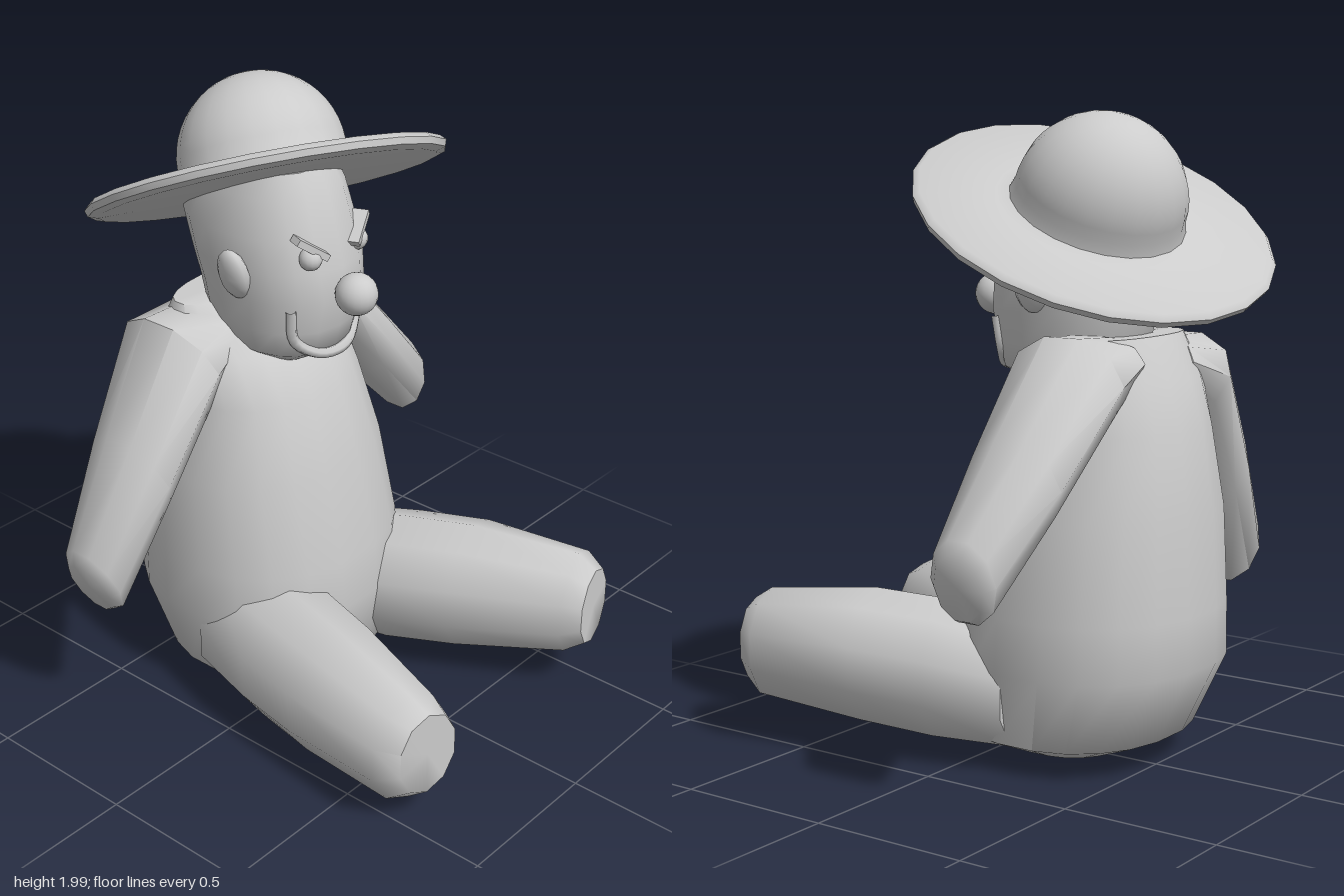
import * as THREE from 'three';
import { toCreasedNormals } from 'three/addons/utils/BufferGeometryUtils.js';

const V = (x, y, z) => new THREE.Vector3(x, y, z);

export function createModel() {
  const group = new THREE.Group();
  const material = new THREE.MeshStandardMaterial({ color: 0xcccccc });

  function add(name, geometry, x = 0, y = 0, z = 0) {
    const mesh = new THREE.Mesh(geometry, material);
    mesh.name = name;
    mesh.position.set(x, y, z);
    group.add(mesh);
    return mesh;
  }

  // Closed skin through rounded sections [x, y, z, radiusU, radiusV].
  // All sections face "d"; "v" is their second axis.
  function loft(rows, d, v, sides, power = 1) {
    const u = v.clone().cross(d).normalize();
    const round = (t) => Math.sign(t) * Math.abs(t) ** power;
    const pos = [], index = [];
    for (const [x, y, z, ru, rv] of rows) {
      for (let i = 0; i < sides; i++) {
        const a = ((i + 0.5) / sides) * Math.PI * 2;
        const p = V(x, y, z)
          .addScaledVector(u, ru * round(Math.cos(a)))
          .addScaledVector(v, rv * round(Math.sin(a)));
        pos.push(p.x, p.y, p.z);
      }
    }
    const last = rows.length - 1;
    const start = rows.length * sides, end = start + 1;
    pos.push(...rows[0].slice(0, 3), ...rows[last].slice(0, 3));
    for (let i = 0; i < sides; i++) {
      const j = (i + 1) % sides;
      for (let r = 0; r < last; r++) {
        const a = r * sides + i, b = r * sides + j;
        index.push(a, b, b + sides, a, b + sides, a + sides);
      }
      index.push(start, j, i, end, last * sides + i, last * sides + j);
    }
    const g = new THREE.BufferGeometry();
    g.setAttribute('position', new THREE.Float32BufferAttribute(pos, 3));
    g.setIndex(index);
    return toCreasedNormals(g, 0.95);
  }

  const up = V(0, 1, 0), front = V(0, 0, 1), back = V(0, 0, -1);

  // Pear-shaped torso
  add('torso', loft([
    [-0.05, 0.01, -0.15, 0.18, 0.18],
    [-0.02, 0.1, -0.21, 0.37, 0.33],
    [-0.02, 0.33, -0.25, 0.42, 0.4],
    [-0.02, 0.5, -0.255, 0.415, 0.395],
    [-0.025, 0.8, -0.28, 0.39, 0.355],
    [-0.035, 1.05, -0.29, 0.33, 0.305],
    [-0.04, 1.2, -0.31, 0.32, 0.235],
    [-0.04, 1.33, -0.37, 0.25, 0.1],
  ], up, back, 20, 0.88));

  // Arms, hanging outwards
  add('leftArm', loft([
    [0.1, 1.26, -0.35, 0.08, 0.16],
    [0.27, 1.21, -0.345, 0.145, 0.2],
    [0.53, 0.94, -0.34, 0.135, 0.165],
    [0.755, 0.7, -0.33, 0.13, 0.115],
    [0.78, 0.685, -0.33, 0.1, 0.085],
  ], V(0.98, -0.2, 0).normalize(), front, 10));
  add('rightArm', loft([
    [-0.18, 1.24, -0.35, 0.08, 0.16],
    [-0.35, 1.18, -0.345, 0.145, 0.2],
    [-0.55, 0.86, -0.34, 0.135, 0.165],
    [-0.74, 0.555, -0.33, 0.13, 0.115],
    [-0.76, 0.535, -0.33, 0.1, 0.085],
  ], V(-0.92, -0.39, 0).normalize(), front, 10));

  // Legs, stretched forwards
  add('leftLeg', loft([
    [0.2, 0.25, -0.15, 0.2, 0.2],
    [0.26, 0.275, 0.1, 0.21, 0.225],
    [0.335, 0.3, 0.33, 0.205, 0.22],
    [0.45, 0.315, 0.67, 0.145, 0.18],
    [0.455, 0.32, 0.735, 0.105, 0.135],
  ], V(0.2, 0, 1).normalize(), up, 10));
  add('rightLeg', loft([
    [-0.22, 0.23, -0.15, 0.22, 0.21],
    [-0.29, 0.235, 0.1, 0.22, 0.225],
    [-0.35, 0.24, 0.33, 0.205, 0.22],
    [-0.44, 0.25, 0.69, 0.15, 0.185],
    [-0.44, 0.26, 0.76, 0.11, 0.14],
  ], V(-0.2, 0, 1).normalize(), up, 10));

  // Head, narrow at the chin
  add('head', loft([
    [-0.035, 1.17, -0.1, 0.1, 0.06],
    [-0.035, 1.22, -0.155, 0.185, 0.2],
    [-0.035, 1.3, -0.17, 0.205, 0.235],
    [-0.035, 1.4, -0.17, 0.215, 0.26],
    [-0.035, 1.5, -0.19, 0.225, 0.27],
    [-0.035, 1.6, -0.22, 0.22, 0.275],
    [-0.035, 1.72, -0.24, 0.2, 0.26],
    [-0.035, 1.79, -0.24, 0.18, 0.22],
  ], up, back, 18, 0.85));

  // Face
  add('nose', new THREE.SphereGeometry(0.066, 20, 14), -0.045, 1.43, 0.14);
  const grin = new THREE.CatmullRomCurve3([
    V(-0.2, 1.39, 0.015), V(-0.18, 1.28, 0.01), V(-0.11, 1.225, 0.04),
    V(-0.035, 1.215, 0.055), V(0.04, 1.225, 0.04), V(0.105, 1.28, 0.01), V(0.125, 1.38, 0.015),
  ]);
  add('mouth', new THREE.TubeGeometry(grin, 24, 0.017, 6));
  for (const s of [-1, 1]) {
    const side = s > 0 ? 'left' : 'right';
    const x = -0.04 + s * 0.105;
    add(side + 'Eye', new THREE.SphereGeometry(0.036, 14, 10), x, 1.55, 0.045);
    const brow = add(side + 'Brow', new THREE.BoxGeometry(0.12, 0.022, 0.05), x, 1.585, 0.045);
    brow.rotation.set(0, s * 0.4, s * 0.6);
    const ear = add(side + 'Ear', new THREE.SphereGeometry(1, 10, 8), -0.035 + s * 0.225, 1.48, -0.16);
    ear.scale.set(0.035, 0.085, 0.06);
    ear.rotation.z = -s * 0.25;
  }

  // Tilted hat: thin wide brim flowing into a round crown
  const profile = [[0, -0.025], [0.53, -0.025], [0.56, -0.015], [0.567, 0.005], [0.55, 0.022],
    [0.31, 0.024], [0.275, 0.035]].map(([r, y]) => new THREE.Vector2(r, y));
  for (let i = 0; i <= 12; i++) {
    const a = (i / 12) * Math.PI / 2;
    profile.push(new THREE.Vector2(0.265 * Math.cos(a), 0.07 + 0.265 * Math.sin(a)));
  }
  const hat = add('hat', toCreasedNormals(new THREE.LatheGeometry(profile, 22), 0.8), 0.01, 1.675, -0.27);
  hat.quaternion.setFromUnitVectors(up, V(0.245, 1, -0.5).normalize());

  return group;
}
